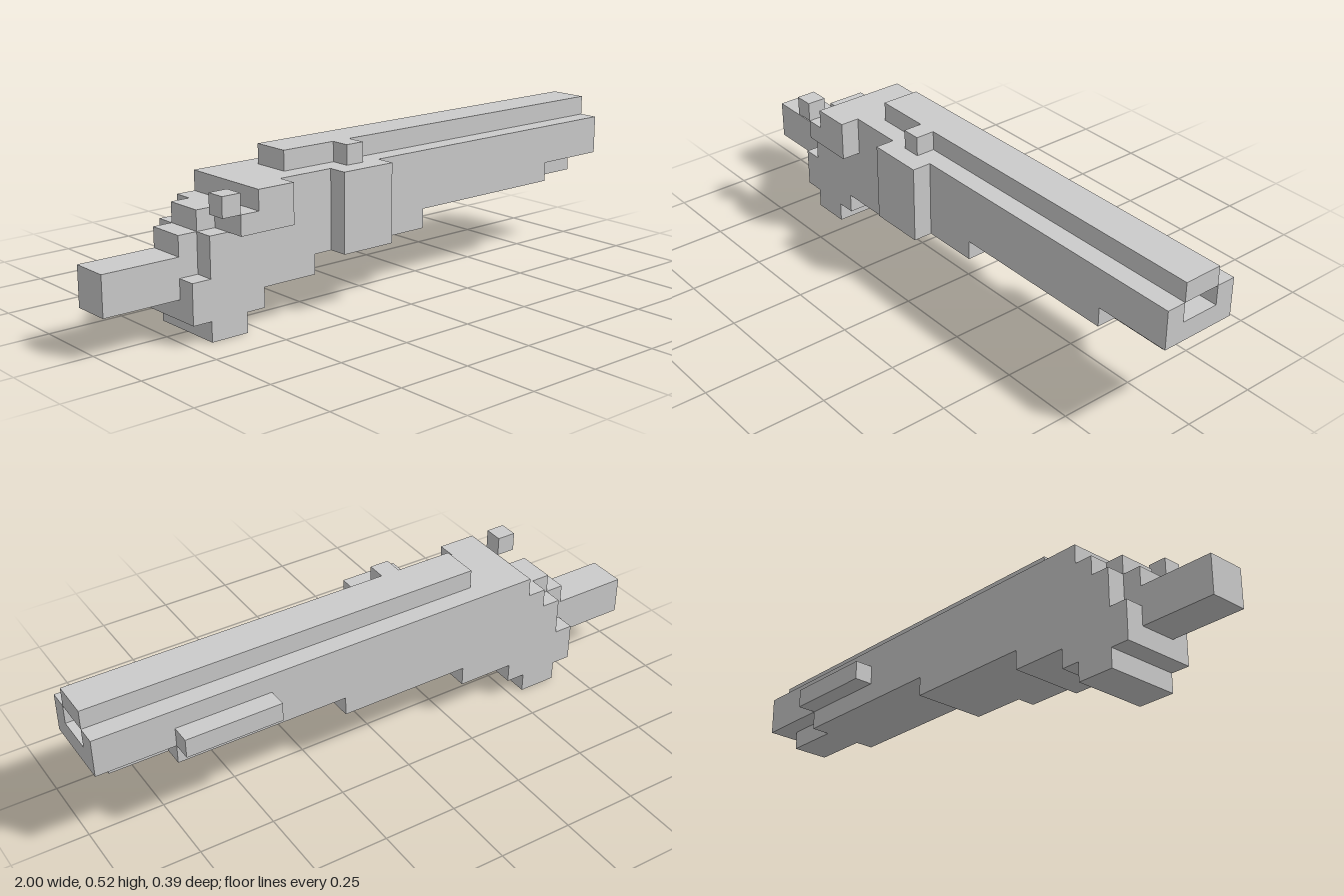
import * as THREE from 'three';

// Everything sits on a cell grid: 31 cells long, 8 high, 6 deep
const U = 2 / 31;
const material = new THREE.MeshStandardMaterial({ color: 0xcccccc, flatShading: true });

export function createModel() {
  const model = new THREE.Group();
  model.name = 'blockBlaster';

  const add = (name, geometry) => {
    geometry.translate(-15.5, 0, -3);
    geometry.scale(U, U, U);
    const mesh = new THREE.Mesh(geometry, material);
    mesh.name = name;
    model.add(mesh);
  };

  // Box between two corners, in cells
  const box = (name, [x0, x1], [y0, y1], [z0, z1]) => {
    const g = new THREE.BoxGeometry(x1 - x0, y1 - y0, z1 - z0);
    g.translate((x0 + x1) / 2, (y0 + y1) / 2, (z0 + z1) / 2);
    add(name, g);
  };

  // Stepped side profile extruded along z
  const slab = (name, points, z0, z1) => {
    const shape = new THREE.Shape(points.map(([x, y]) => new THREE.Vector2(x, y)));
    const g = new THREE.ExtrudeGeometry(shape, { depth: z1 - z0, bevelEnabled: false });
    g.translate(0, 0, z0);
    add(name, g);
  };

  // Main body with grip
  slab('body', [
    [5, 0], [7, 0], [7, 1], [8, 1], [8, 2], [11, 2], [11, 3], [18, 3], [18, 4], [27, 4], [27, 5],
    [30, 5], [30, 7], [7, 7], [7, 6], [6, 6], [6, 5], [5, 5], [5, 3], [4, 3], [4, 1], [5, 1],
  ], 1, 5);

  // Muzzle: floor and two walls around the bore
  box('muzzleFloor', [30, 31], [5, 6], [1, 5]);
  for (const z of [1, 4]) box('muzzleWall', [30, 31], [6, 7], [z, z + 1]);
  box('frontLip', [27, 30], [4, 5], [2, 4]);

  // Top rail and its small stud
  box('topRail', [10, 31], [7, 8], [2, 4]);
  box('railStud', [13, 14], [7, 8], [4, 5]);

  // Rear end
  box('rearBlock', [4, 5], [3, 5], [2, 4]);
  box('rearStep', [5, 6], [5, 6], [2, 4]);
  box('tail', [0, 4], [2, 4], [2, 4]);

  // Side attachments
  slab('sidePanel', [[6, 5], [9, 5], [9, 7], [7, 7], [7, 6], [6, 6]], 5, 6);
  box('sideKnob', [5, 6], [6, 7], [5, 6]);
  box('sideBlock', [12, 15], [3, 7], [5, 6]);
  box('sideRail', [22, 27], [5, 6], [0, 1]);

  return model;
}
